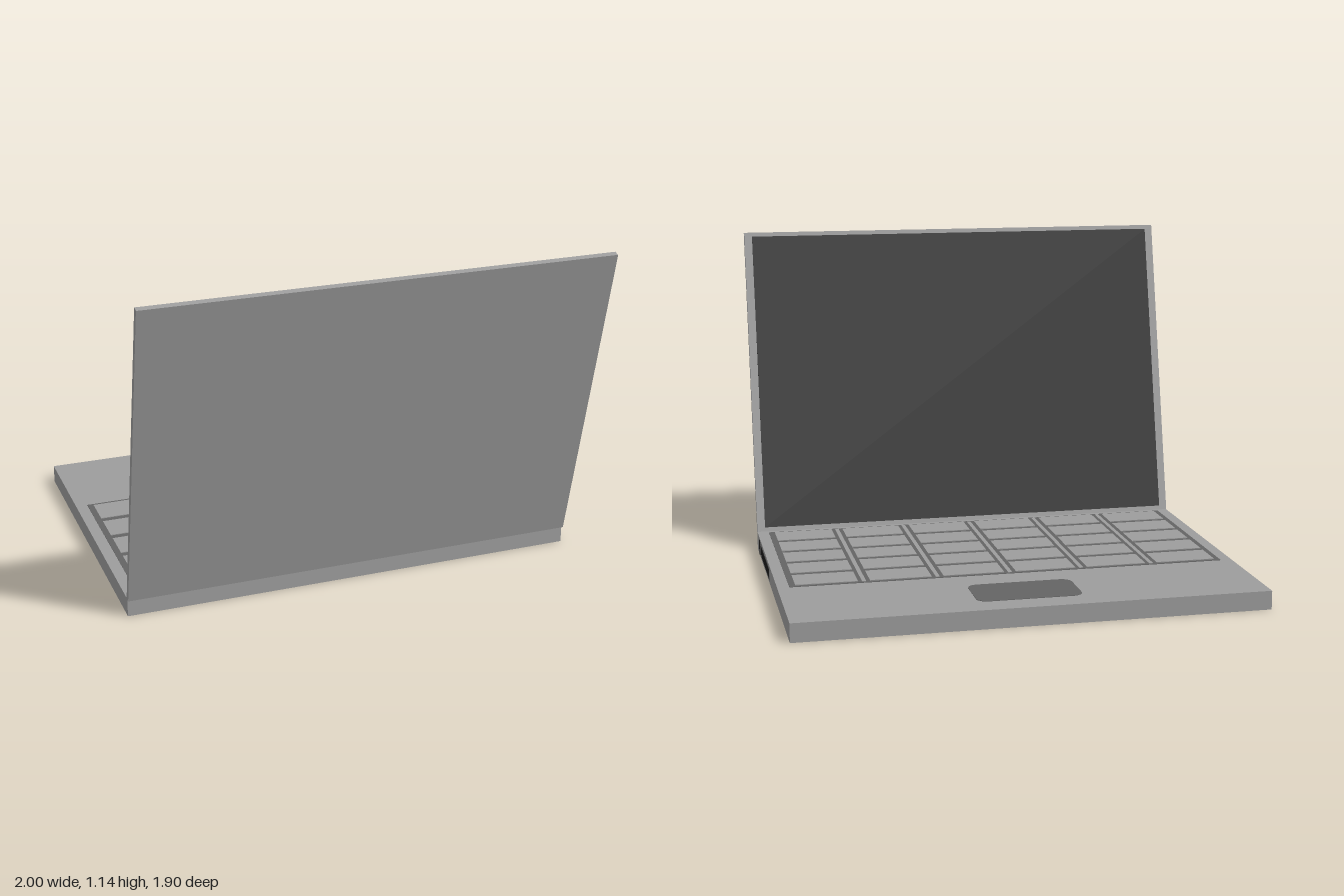
import * as THREE from 'three';

const material = (name, color) => new THREE.MeshStandardMaterial({ name, color });

export function createModel() {
  const silver = material('silver casing', 0x9c9c9c);
  const grey = material('dark grey', 0x646464);
  const black = material('black glass', 0x1a1a1a);

  const W = 1.566, D = 1.105, H = 0.063;
  const model = new THREE.Group();
  model.name = 'laptop';
  // the whole laptop is turned so that its keyboard faces away from +z
  const body = new THREE.Group();
  body.name = 'laptopBody';
  body.rotation.y = Math.PI - 0.4346;
  body.position.set(0.055, 0, -0.12);
  model.add(body);

  const box = (parent, name, mat, size, pos) => {
    const m = new THREE.Mesh(new THREE.BoxGeometry(...size), mat);
    m.name = name;
    m.position.set(...pos);
    parent.add(m);
    return m;
  };

  box(body, 'base', silver, [W, H, D], [0, H / 2, 0]);

  // keyboard: dark tray, 6 x 5 keys and thin ribs between the columns
  const keyboard = new THREE.Group();
  keyboard.name = 'keyboard';
  keyboard.position.set(0, H, -0.177);
  body.add(keyboard);
  const cols = 6, rows = 5, kw = 1.486, kd = 0.704;
  const px = kw / cols, pz = kd / rows;
  box(keyboard, 'keyTray', grey, [kw, 0.003, kd], [0, 0, 0]);
  for (let c = 0; c < cols; c++) {
    const x = (c - (cols - 1) / 2) * px;
    for (let r = 0; r < rows; r++) {
      box(keyboard, 'key', silver, [px - 0.04, 0.005, pz - 0.026],
        [x, 0.0015, (r - (rows - 1) / 2) * pz]);
    }
    if (c > 0) box(keyboard, 'keyRib', silver, [0.014, 0.004, kd - 0.02], [x - px / 2, 0.001, 0]);
  }

  // touchpad with rounded corners
  const tw = 0.175, td = 0.093, r = 0.035;
  const pad = new THREE.Shape();
  pad.moveTo(-tw + r, -td);
  pad.lineTo(tw - r, -td);
  pad.absarc(tw - r, -td + r, r, -Math.PI / 2, 0);
  pad.absarc(tw - r, td - r, r, 0, Math.PI / 2);
  pad.absarc(-tw + r, td - r, r, Math.PI / 2, Math.PI);
  pad.absarc(-tw + r, -td + r, r, Math.PI, Math.PI * 1.5);
  const touchpad = new THREE.Mesh(
    new THREE.ExtrudeGeometry(pad, { depth: 0.002, bevelEnabled: false, curveSegments: 6 }), grey);
  touchpad.name = 'touchpad';
  touchpad.rotation.x = -Math.PI / 2;
  touchpad.position.set(0, H - 0.0005, 0.373);
  body.add(touchpad);

  // ports on one side of the base
  const side = -W / 2;
  box(body, 'slotFrame', grey, [0.003, 0.044, 0.304], [side, 0.034, -0.241]);
  box(body, 'slot', black, [0.005, 0.032, 0.28], [side, 0.034, -0.241]);
  box(body, 'socketFrame', grey, [0.003, 0.052, 0.046], [side, 0.033, -0.443]);
  box(body, 'socketBar', black, [0.005, 0.022, 0.046], [side, 0.033, -0.443]);
  box(body, 'socketPost', black, [0.006, 0.052, 0.02], [side, 0.033, -0.443]);

  // lid leaning back from the rear edge
  const L = 1.1, T = 0.02;
  const lid = new THREE.Group();
  lid.name = 'lid';
  lid.position.set(0, H - 0.001, -0.554);
  lid.rotation.x = -0.23;
  body.add(lid);
  box(lid, 'lidShell', silver, [W, L, T], [0, L / 2, 0]);
  box(lid, 'screen', black, [W - 0.056, L - 0.03, 0.003], [0, L / 2, T / 2]);

  return model;
}
